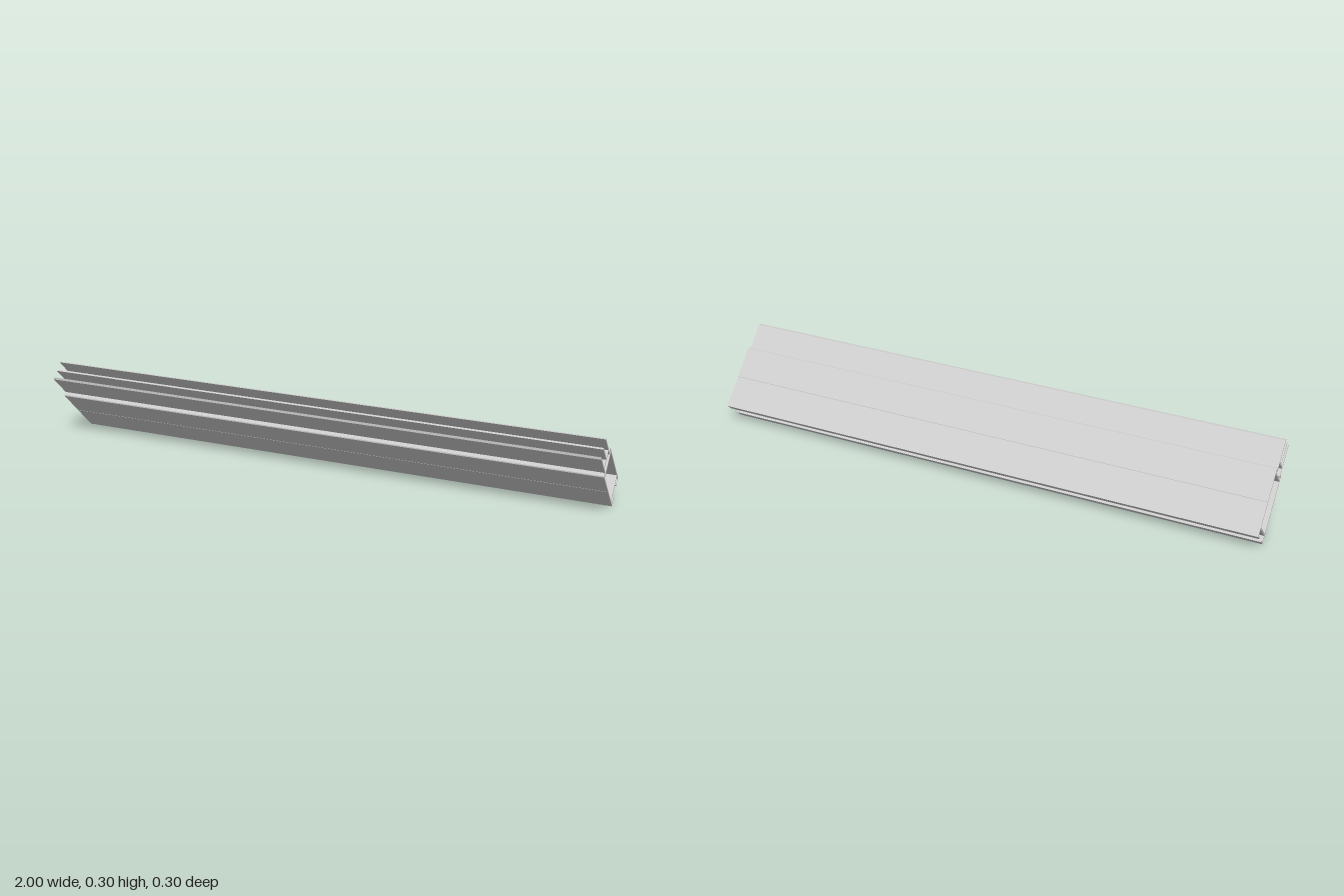
import * as THREE from 'three';

// Closed outline from one half of a symmetric section: [along, half width]
function mirrored(half) {
  const other = half.map(([u, h]) => [u, -h]).reverse();
  return [...half, ...other].map(([u, h]) => new THREE.Vector2(u, h));
}

export function createModel() {
  const group = new THREE.Group();
  group.name = 'extrudedRail';
  const length = 2;

  // Outer outline, from the middle fin round to the hooked flanges
  const section = new THREE.Shape(mirrored([
    [0.282, 0.003], [0.207, 0.003],                                    // middle fin
    [0.207, 0.031], [0.285, 0.031], [0.279, 0.037], [0.181, 0.037],    // side fin
    [0.181, 0.049], [0.178, 0.052],                                    // shoulder
    [0.0655, 0.052], [0.0645, 0.051], [0.0635, 0.052],                 // hairline groove
    [-0.052, 0.052], [-0.052, 0.022], [-0.046, 0.022],                 // hooked lip
    [-0.046, 0.046], [-0.025, 0.046],
  ]));

  // Main box chamber
  section.holes.push(new THREE.Path(mirrored([[0.160, 0.046], [-0.018, 0.046]])));
  // Small stepped chamber in the neck
  section.holes.push(new THREE.Path(mirrored([
    [0.201, 0.031], [0.174, 0.031], [0.174, 0.046], [0.167, 0.046],
  ])));

  const geometry = new THREE.ExtrudeGeometry(section, { depth: length, bevelEnabled: false });
  geometry.translate(0, 0.106, -length / 2);

  // Tilt the section 45 degrees, fins up and forward, and run it along x
  const a = Math.SQRT1_2;
  geometry.applyMatrix4(new THREE.Matrix4().makeBasis(
    new THREE.Vector3(0, a, a),
    new THREE.Vector3(0, a, -a),
    new THREE.Vector3(-1, 0, 0),
  ));
  geometry.translate(0, -0.0014, 0);

  const rail = new THREE.Mesh(geometry, new THREE.MeshStandardMaterial({ color: 0xcccccc }));
  rail.name = 'railProfile';
  group.add(rail);
  return group;
}
